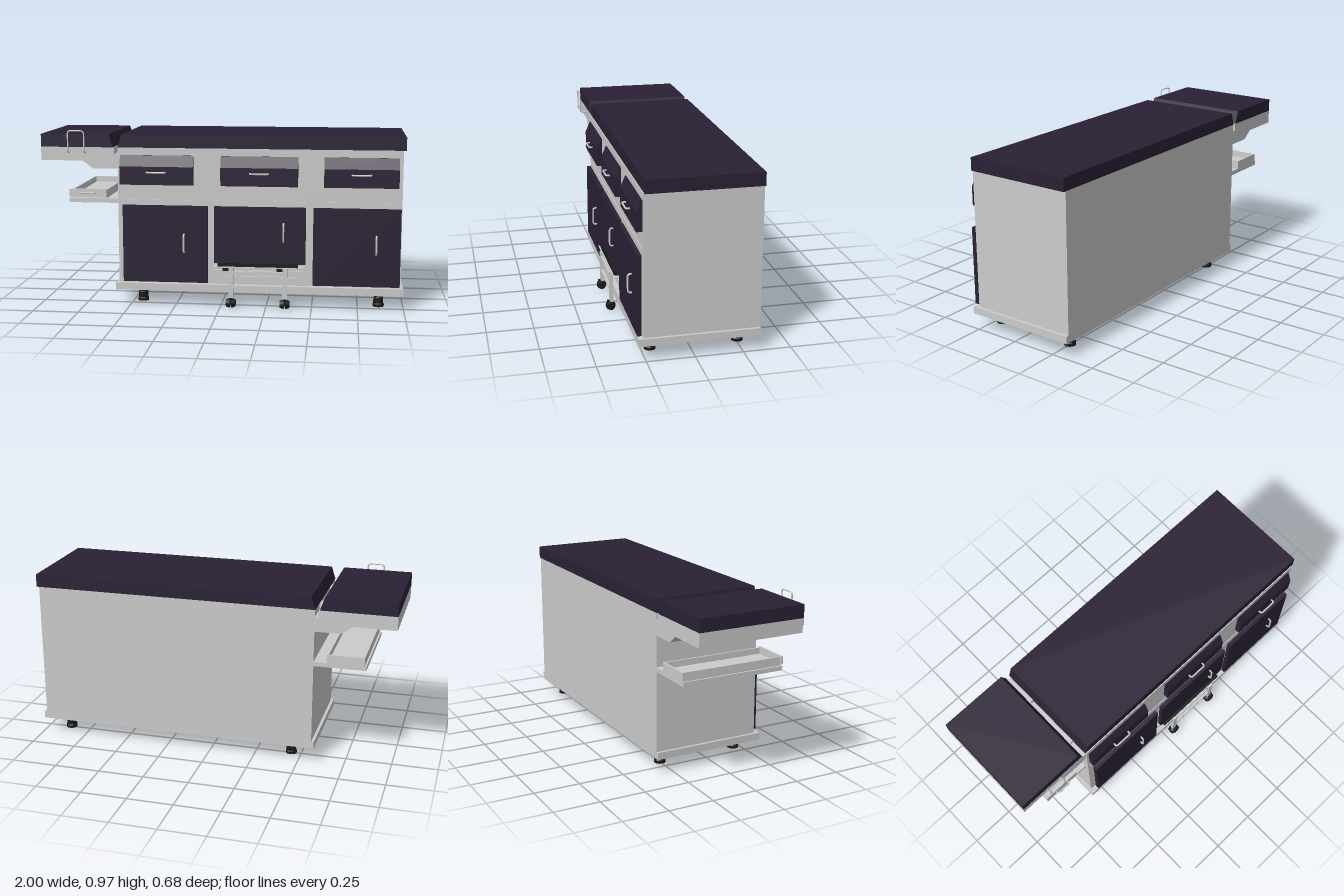
import * as THREE from 'three';

const grey = new THREE.MeshStandardMaterial({ color: 0xcccccc });
const plum = new THREE.MeshStandardMaterial({ color: 0x2a2135 });
const black = new THREE.MeshStandardMaterial({ color: 0x1a1a1a });

export function createModel() {
  const model = new THREE.Group();

  const add = (name, geo, mat, parent = model) => {
    const mesh = new THREE.Mesh(geo, mat);
    mesh.name = name;
    parent.add(mesh);
    return mesh;
  };
  const group = (name) => {
    const g = new THREE.Group();
    g.name = name;
    model.add(g);
    return g;
  };
  // Box given by its limits on each axis
  const box = (name, [x0, x1], [y0, y1], [z0, z1], mat = grey, parent = model) =>
    add(name, new THREE.BoxGeometry(x1 - x0, y1 - y0, z1 - z0)
      .translate((x0 + x1) / 2, (y0 + y1) / 2, (z0 + z1) / 2), mat, parent);
  // Front profile (x, y) extruded from z0 to z1
  const prism = (name, pts, z0, z1, mat, parent = model) => {
    const shape = new THREE.Shape(pts.map(([x, y]) => new THREE.Vector2(x, y)));
    const geo = new THREE.ExtrudeGeometry(shape, { depth: z1 - z0, bevelEnabled: false });
    return add(name, geo.translate(0, 0, z0), mat, parent);
  };
  // Bent rod with rounded corners through the given points
  const rod = (name, pts, radius, bend, parent = model) => {
    const v = pts.map((p) => new THREE.Vector3(...p));
    const path = new THREE.CurvePath();
    let from = v[0];
    for (let i = 1; i < v.length - 1; i++) {
      const a = v[i].clone().add(v[i - 1].clone().sub(v[i]).setLength(bend));
      const b = v[i].clone().add(v[i + 1].clone().sub(v[i]).setLength(bend));
      path.add(new THREE.LineCurve3(from, a));
      path.add(new THREE.QuadraticBezierCurve3(a, v[i], b));
      from = b;
    }
    path.add(new THREE.LineCurve3(from, v[v.length - 1]));
    return add(name, new THREE.TubeGeometry(path, 48, radius, 8), grey, parent);
  };

  // Cabinet and plinth
  box('cabinet', [-0.57, 0.98], [0.12, 0.87], [-0.34, 0.26]);
  box('plinth', [-0.585, 0.995], [0.08, 0.12], [-0.34, 0.288]);
  const board = group('pullOutBoard');
  box('boardEdge', [-0.555, 0.96], [0.575, 0.585], [0.255, 0.264], grey, board);
  box('boardStop', [-0.555, -0.548], [0.585, 0.625], [0.255, 0.264], grey, board);

  // Main cushion and headrest cushion, slanted where they meet
  prism('mainCushion', [[-0.572, 0.87], [0.995, 0.87], [0.995, 0.94], [-0.55, 0.94]], -0.34, 0.255, plum);
  prism('headCushion', [[-1, 0.87], [-0.595, 0.87], [-0.62, 0.94], [-1, 0.94]], -0.34, 0.255, plum);

  // Headrest support
  box('headBoard', [-1, -0.59], [0.832, 0.87], [-0.34, 0.255]);
  prism('headBracket', [[-1, 0.795], [-0.77, 0.795], [-0.71, 0.752], [-0.57, 0.752],
    [-0.57, 0.832], [-1, 0.832]], -0.34, 0.25, grey);
  for (const z of [-0.185, 0.125]) {
    box('headHinge', [-0.592, -0.568], [0.835, 0.865], [z - 0.033, z + 0.033]);
  }
  rod('headRail', [[-0.84, 0.843, 0.25], [-0.84, 0.843, 0.292], [-0.84, 0.962, 0.292],
    [-0.75, 0.962, 0.292], [-0.75, 0.843, 0.292], [-0.75, 0.843, 0.25]], 0.004, 0.018);

  // Side shelf with an open tray
  const tray = group('sideTray');
  box('shelf', [-0.85, -0.57], [0.56, 0.584], [-0.34, 0.24], grey, tray);
  box('trayFloor', [-0.84, -0.64], [0.588, 0.597], [-0.33, 0.235], grey, tray);
  for (const x of [-0.84, -0.65]) box('traySide', [x, x + 0.01], [0.584, 0.63], [-0.33, 0.235], grey, tray);
  box('trayBack', [-0.84, -0.64], [0.584, 0.63], [-0.34, -0.33], grey, tray);
  box('trayFront', [-0.85, -0.64], [0.592, 0.635], [0.232, 0.243], grey, tray);
  rod('trayHandle', [[-0.785, 0.614, 0.24], [-0.785, 0.614, 0.257], [-0.705, 0.614, 0.257],
    [-0.705, 0.614, 0.24]], 0.005, 0.008, tray);

  // Drawer fronts with a chamfered top
  for (const [x0, x1] of [[-0.555, -0.15], [0, 0.42], [0.56, 0.96]]) {
    const drawer = group('drawer');
    const w = x1 - x0;
    const profile = [[0.258, 0.67], [0.291, 0.67], [0.291, 0.77], [0.265, 0.83], [0.258, 0.83]];
    const shape = new THREE.Shape(profile.map(([z, y]) => new THREE.Vector2(-z, y)).reverse());
    const geo = new THREE.ExtrudeGeometry(shape, { depth: w, bevelEnabled: false });
    add('drawerFront', geo.rotateY(Math.PI / 2).translate(x0, 0, 0), plum, drawer);
    const c = (x0 + x1) / 2;
    rod('drawerHandle', [[c - 0.05, 0.74, 0.285], [c - 0.05, 0.74, 0.311], [c + 0.05, 0.74, 0.311],
      [c + 0.05, 0.74, 0.285]], 0.005, 0.012, drawer);
  }

  // Doors: x limits, lower edge, handle x, handle middle y
  for (const [x0, x1, low, hx, hy] of [
    [-0.54, -0.07, 0.13, -0.2, 0.35], [-0.035, 0.465, 0.245, 0.345, 0.42], [0.505, 0.975, 0.13, 0.845, 0.36]]) {
    const door = group('door');
    box('doorPanel', [x0, x1], [low, 0.556], [0.268, 0.291], plum, door);
    rod('doorHandle', [[hx, hy - 0.05, 0.285], [hx, hy - 0.05, 0.311], [hx, hy + 0.05, 0.311],
      [hx, hy + 0.05, 0.285]], 0.005, 0.015, door);
    for (const y of [hy - 0.04, hy + 0.04]) {
      box('doorHinge', [x0 + 0.002, x0 + 0.03], [y - 0.02, y + 0.02], [0.258, 0.27], grey, door);
    }
  }

  // Pull-out step on castors
  const step = group('step');
  box('stepTread', [-0.015, 0.425], [0.226, 0.243], [0.255, 0.303], black, step);
  box('stepRim', [-0.035, 0.455], [0.222, 0.228], [0.255, 0.31], grey, step);
  for (const y of [0.158, 0.19]) box('stepRunner', [-0.04, 0.45], [y, y + 0.01], [0.255, 0.27], grey, step);
  for (const x of [-0.04, 0.44]) box('stepRunnerEnd', [x, x + 0.01], [0.158, 0.2], [0.255, 0.27], grey, step);
  for (const y of [0.11, 0.19]) box('stepCrossbar', [0.065, 0.355], [y, y + 0.015], [0.302, 0.315], grey, step);
  for (const x of [0.06, 0.355]) {
    box('stepLeg', [x - 0.013, x + 0.013], [0.05, 0.226], [0.299, 0.317], grey, step);
    box('stepArm', [x - 0.013, x + 0.013], [0.2, 0.226], [0.255, 0.317], grey, step);
    box('stepBumper', [x - 0.045, x - 0.013], [0.204, 0.222], [0.28, 0.308], black, step);
    for (const s of [-1, 1]) {
      add('castorWheel', new THREE.CylinderGeometry(0.02, 0.027, 0.022, 16)
        .rotateZ(-s * Math.PI / 2).translate(x + s * 0.015, 0.027, 0.312), black, step);
    }
    box('castorFork', [x - 0.01, x + 0.01], [0.02, 0.055], [0.3, 0.33], black, step);
  }

  // Stepped feet
  const footProfile = [[0, 0.005], [0.031, 0.005], [0.031, 0.02], [0.027, 0.024], [0.027, 0.055],
    [0.022, 0.06], [0.022, 0.085], [0, 0.085]].map(([r, y]) => new THREE.Vector2(r, y));
  const footMaterial = black.clone();
  footMaterial.flatShading = true;
  for (const x of [-0.445, 0.865]) {
    for (const z of [-0.255, 0.205]) {
      add('foot', new THREE.LatheGeometry(footProfile, 12), footMaterial).position.set(x, 0, z);
    }
  }

  return model;
}
